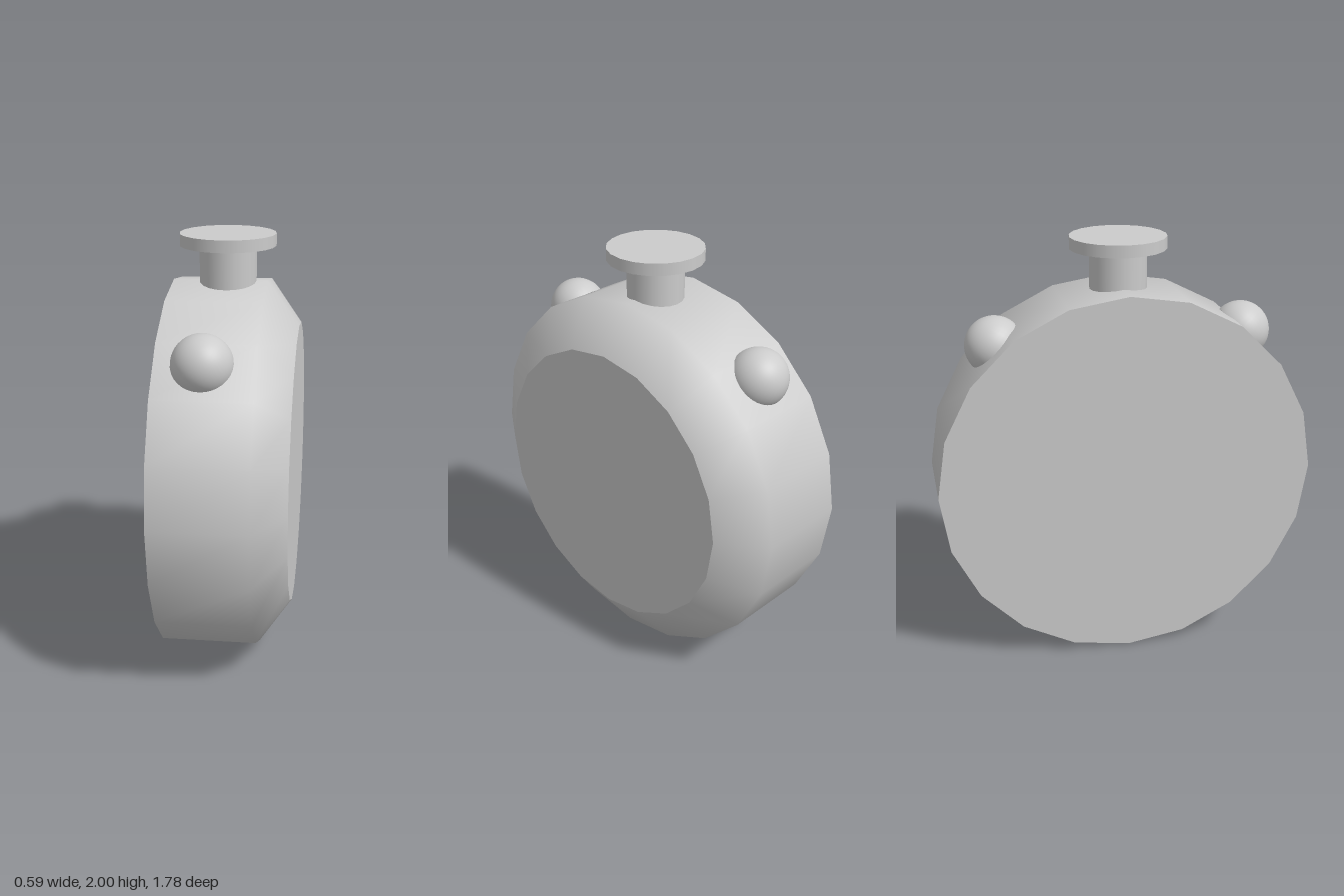
import * as THREE from 'three';

const SIDES = 20;

export function createModel() {
  const model = new THREE.Group();
  const material = new THREE.MeshStandardMaterial({ color: 0xcccccc });

  function add(parent, name, geometry, x = 0, y = 0, z = 0) {
    const mesh = new THREE.Mesh(geometry, material);
    mesh.name = name;
    mesh.position.set(x, y, z);
    parent.add(mesh);
    return mesh;
  }

  // Round case lying along x, with a softly shaded bevel on one side
  const body = new THREE.Group();
  body.name = 'case';
  body.position.y = 0.89;
  model.add(body);
  const profile = [[0.89, -0.295], [0.89, 0.145], [0.68, 0.295]]
    .map(([r, h]) => new THREE.Vector2(r, h));
  add(body, 'caseRim', new THREE.LatheGeometry(profile, SIDES).rotateZ(-Math.PI / 2));
  add(body, 'caseFace', new THREE.CircleGeometry(0.68, SIDES).rotateY(Math.PI / 2), 0.295);
  add(body, 'caseBack', new THREE.CircleGeometry(0.89, SIDES).rotateY(-Math.PI / 2), -0.295);

  // Crown: stem and flat cap
  const crown = new THREE.Group();
  crown.name = 'crown';
  crown.position.x = -0.04;
  model.add(crown);
  add(crown, 'crownStem', new THREE.CylinderGeometry(0.133, 0.133, 0.28, SIDES), 0, 1.82);
  add(crown, 'crownCap', new THREE.CylinderGeometry(0.224, 0.224, 0.056, SIDES), 0, 1.972);

  // Domed buttons, tilted outward on both sides of the crown
  for (const side of [1, -1]) {
    const button = new THREE.Group();
    button.name = side > 0 ? 'frontButton' : 'rearButton';
    button.position.set(-0.085, 1.533, side * 0.583);
    button.rotation.x = side * Math.PI / 4;
    model.add(button);
    add(button, 'buttonDome',
      new THREE.SphereGeometry(0.137, 32, 12, 0, Math.PI * 2, 0, Math.PI / 2));
    add(button, 'buttonBase', new THREE.CircleGeometry(0.137, 32).rotateX(Math.PI / 2));
  }

  return model;
}
